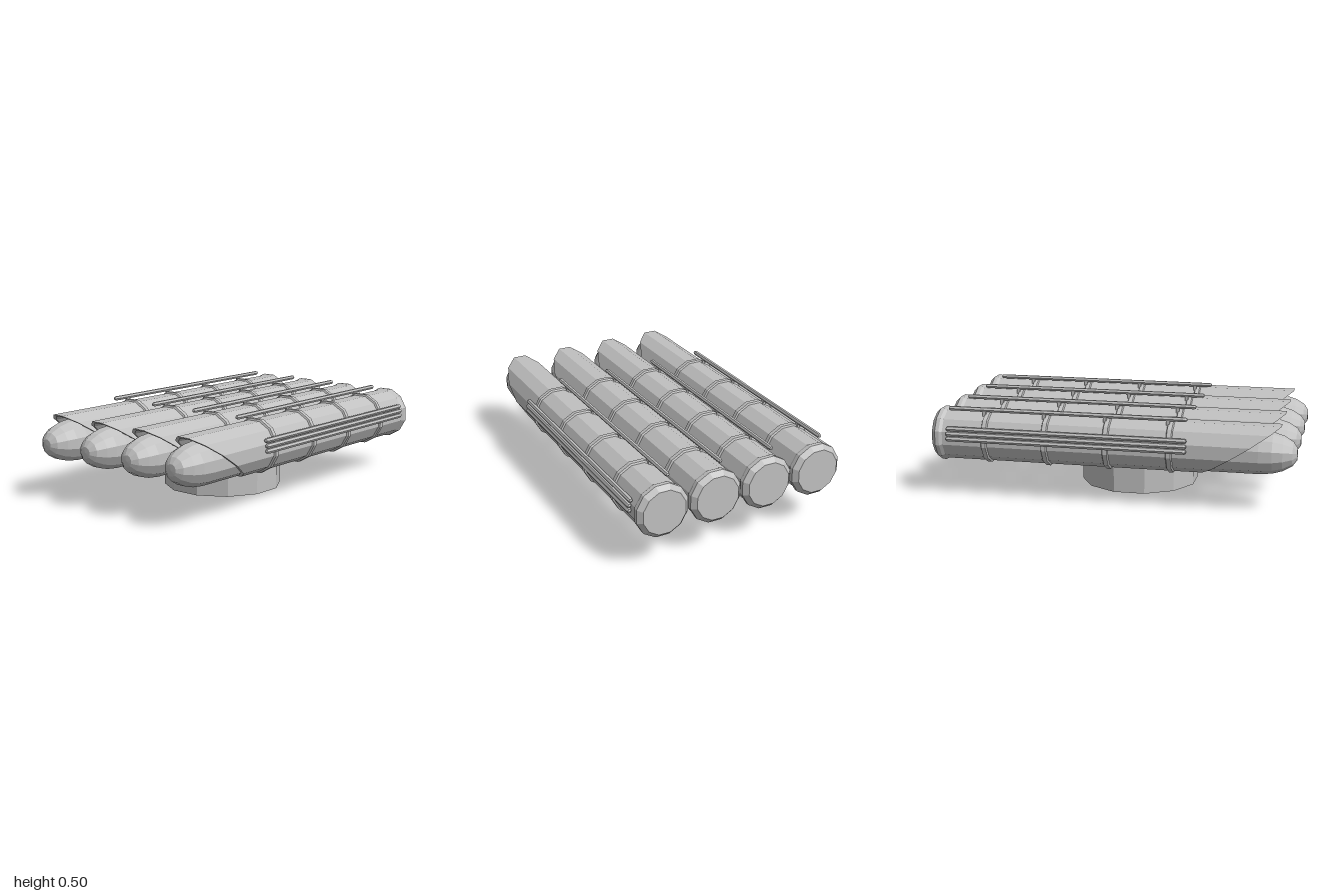
import * as THREE from 'three';

const STEEL = new THREE.MeshStandardMaterial({ color: 0xc0c0c0 });
STEEL.name = 'steel grey';

const AXIS_Y = 0.33;                       // height of the tube axes
const TUBE_X = [-0.459, -0.153, 0.153, 0.459];
const RIB_Z = [-0.695, -0.355, -0.015, 0.33];

// faceted mesh: unshared vertices with one normal per face
function part(name, geometry) {
  const g = geometry.toNonIndexed();
  g.computeVertexNormals();
  const mesh = new THREE.Mesh(g, STEEL);
  mesh.name = name;
  return mesh;
}

// twelve-sided turned shape with flat sides square to the axes; profile is [radius, height]
function turned(profile) {
  const points = profile.map(([r, h]) => new THREE.Vector2(r, h));
  return new THREE.LatheGeometry(points, 12, Math.PI / 12);
}

// the same, lying along z
function turnedForward(profile) {
  return turned(profile).rotateX(Math.PI / 2);
}

// round-ended bar running along z
function rod(name, x, y, r, z0, z1) {
  const g = new THREE.CapsuleGeometry(r, z1 - z0 - 2 * r, 2, 6).rotateX(Math.PI / 2);
  return part(name, g.translate(x, y, (z0 + z1) / 2));
}

function launchTube() {
  const g = turnedForward([
    [0, -1], [0.124, -1], [0.15, -0.974], [0.15, -0.952], [0.141, -0.936],
    [0.141, 0.7], [0.129, 0.7], [0.129, 0.2], [0, 0.2],
  ]);
  // slanted mouth: the top reaches further forward than the bottom
  const p = g.attributes.position;
  for (let i = 0; i < p.count; i++) {
    if (p.getZ(i) > 0.6) p.setZ(i, 0.705 + p.getY(i) * 1.52);
  }
  return part('launchTube', g);
}

// missile resting on the tube floor, below the tube axis
function missile() {
  const g = turnedForward([
    [0.117, 0.19], [0.117, 0.8], [0.11, 0.87],
    [0.094, 0.925], [0.065, 0.975], [0.032, 0.998], [0, 1],
  ]);
  return part('missile', g.translate(0, -0.015, 0));
}

function rib(z) {
  const g = turnedForward([
    [0.139, -0.018], [0.151, -0.012], [0.151, 0.012], [0.139, 0.018],
  ]);
  return part('rib', g.translate(0, 0, z));
}

function tubeAssembly(x) {
  const group = new THREE.Group();
  group.name = 'tubeAssembly';
  group.position.set(x, AXIS_Y, 0);
  group.add(launchTube(), missile());
  RIB_Z.forEach((z) => group.add(rib(z)));

  // conduit on top, held by a short post at each rib
  group.add(rod('topConduit', -0.062, 0.156, 0.013, -0.918, 0.42));
  RIB_Z.forEach((z) => {
    const post = new THREE.BoxGeometry(0.014, 0.034, 0.018);
    group.add(part('conduitPost', post.translate(-0.062, 0.137, z - 0.015)));
  });
  return group;
}

// pedestal with a chamfered shoulder
function pedestal() {
  const g = turned([
    [0, 0], [0.3385, 0], [0.3385, 0.15], [0.319, 0.225], [0.28, 0.255], [0, 0.255],
  ]);
  return part('pedestal', g.translate(0, 0, 0.06));
}

export function createModel() {
  const model = new THREE.Group();
  model.name = 'missileLauncher';
  model.add(pedestal());
  TUBE_X.forEach((x) => model.add(tubeAssembly(x)));

  // three conduits along each outer flank
  for (const side of [-1, 1]) {
    [[0.6, 0.388], [0.607, 0.36], [0.607, 0.332]].forEach(([x, y]) => {
      model.add(rod('sideConduit', side * x, y, 0.014, -0.91, 0.428));
    });
  }
  return model;
}
